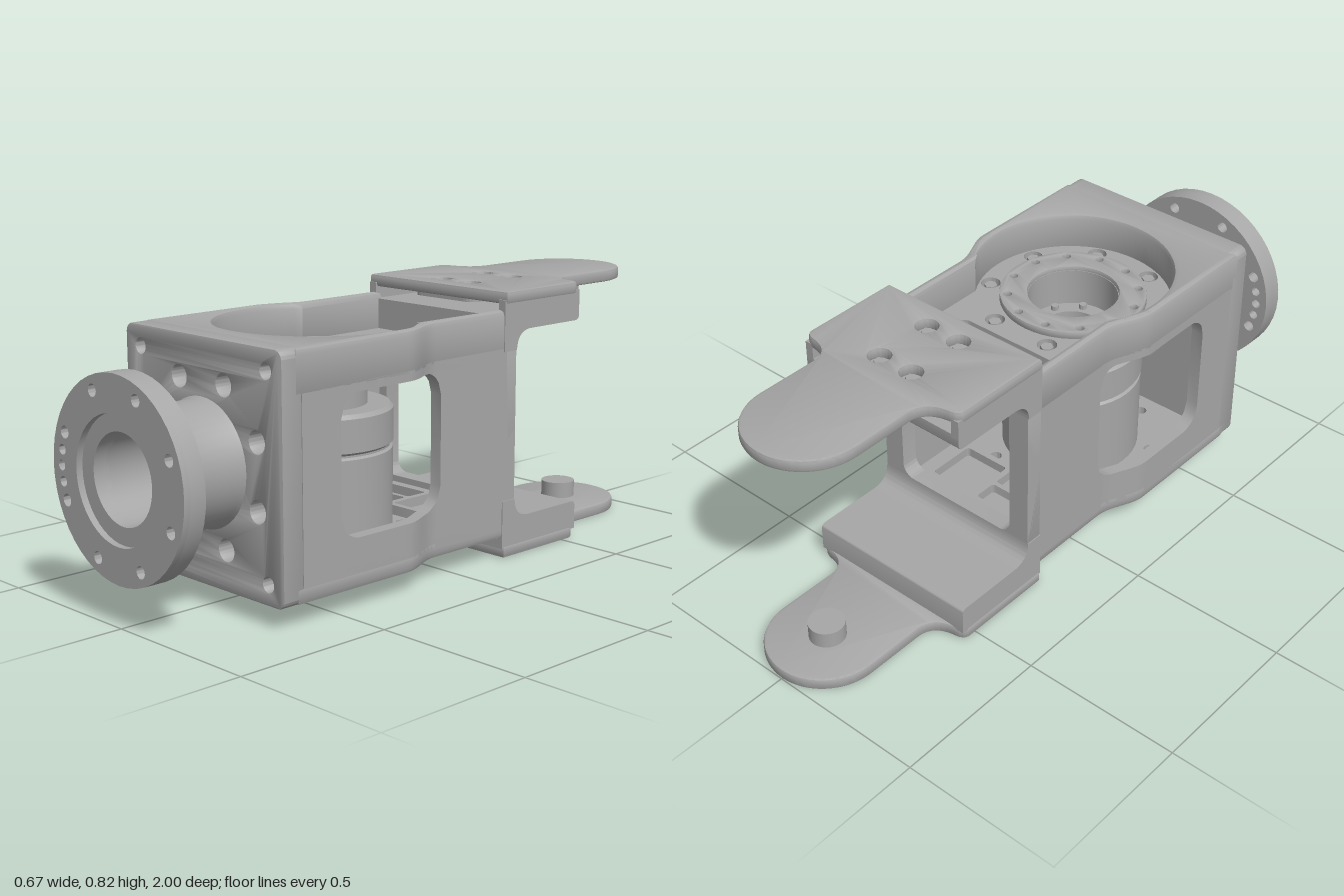
import * as THREE from 'three';
import { toCreasedNormals } from 'three/addons/utils/BufferGeometryUtils.js';

const H = 0.82, MID = 0.41, CZ = 0.28; // total height, tube axis height, joint axis z
const metal = new THREE.MeshStandardMaterial({ color: 0xa6a6a6 });
metal.name = 'grey metal';

function add(group, name, geo) {
  const m = new THREE.Mesh(toCreasedNormals(geo, 0.5), metal);
  m.name = name;
  group.add(m);
  return m;
}
// extrude from a to b with an optional small edge bevel
function slab(shape, a, b, bevel = 0) {
  const g = new THREE.ExtrudeGeometry(shape, {
    depth: b - a - 2 * bevel, curveSegments: 24, bevelEnabled: bevel > 0,
    bevelThickness: bevel, bevelSize: bevel, bevelOffset: -bevel, bevelSegments: 2 });
  return g.translate(0, 0, a + bevel);
}
// plan shapes use (x, -z) and rise from y = a to y = b
const plan = (s, a, b, bevel) => slab(s, a, b, bevel).rotateX(-Math.PI / 2);
const circle = (x, y, r) => new THREE.Path().absarc(x, y, r, 0, Math.PI * 2, false);
const disc = (x, y, r) => new THREE.Shape().absarc(x, y, r, 0, Math.PI * 2, false);
function roundRect(x0, y0, x1, y1, r, T = THREE.Shape) {
  const s = new T();
  s.absarc(x1 - r, y0 + r, r, -Math.PI / 2, 0, false);
  s.absarc(x1 - r, y1 - r, r, 0, Math.PI / 2, false);
  s.absarc(x0 + r, y1 - r, r, Math.PI / 2, Math.PI, false);
  s.absarc(x0 + r, y0 + r, r, Math.PI, Math.PI * 1.5, false);
  s.closePath();
  return s;
}
function ringPoints(n, r, cx, cy, offset = 0.5) {
  return Array.from({ length: n }, (_, i) => {
    const a = (i + offset) / n * Math.PI * 2;
    return [cx + r * Math.cos(a), cy + r * Math.sin(a)];
  });
}
const punch = (shape, pts, r) => pts.forEach(([x, y]) => shape.holes.push(circle(x, y, r)));

// half width of the housing: wide at the front, narrow behind
const halfWidth = z => 0.285 + 0.05 * THREE.MathUtils.smoothstep(z, 0.08, 0.24);
// outline from the left rear corner, round the front, to the other rear corner
function housingOutline(rearZ, frontZ) {
  const side = [[0.335, frontZ]];
  for (let i = 0; i <= 10; i++) { const z = 0.24 - 0.016 * i; side.push([halfWidth(z), z]); }
  side.push([0.285, rearZ]);
  const all = [...side.slice().reverse().map(([x, z]) => [-x, z]), ...side];
  const s = new THREE.Shape();
  all.forEach(([x, z], i) => (i ? s.lineTo(x, -z) : s.moveTo(x, -z)));
  return s;
}
// rim around the recess: round at the front, open towards the fork
function rimShape() {
  const s = housingOutline(-0.225, 0.66);
  s.lineTo(0.25, 0.225);
  s.lineTo(0.25, -0.114);
  s.absarc(0, -CZ, 0.3, 0.587, 2.555, true);
  s.lineTo(-0.25, 0.225);
  return s;
}

// side wall rail, lofted along z from rectangular sections
function rail(side, upper) {
  const a = 0.22, b = 0.205, r = 0.07, yc = 0.415;
  const sections = [[0.64, 0], [CZ + a, 0]];
  for (let i = 0; i <= 44; i++) {
    const z = CZ + a - 0.01 * i, d = Math.max(0, Math.abs(z - CZ) - (a - r));
    sections.push([z, b - r + Math.sqrt(Math.max(0, r * r - d * d))]);
  }
  sections.push([CZ - a, 0], [-0.265, 0]);
  const pos = [], idx = [];
  sections.forEach(([z, h]) => {
    const y0 = upper ? yc + h : 0.12, y1 = upper ? 0.645 : yc - h;
    const xo = side * halfWidth(z), xi = xo - side * 0.04;
    const c = [[xo, y0], [xo, y1], [xi, y1], [xi, y0]];
    if (side < 0) c.reverse();
    c.forEach(([x, y]) => pos.push(x, y, z));
  });
  const last = (sections.length - 1) * 4;
  for (let k = 0; k < last; k += 4) for (let j = 0; j < 4; j++) {
    const n = (j + 1) % 4;
    idx.push(k + j, k + 4 + j, k + 4 + n, k + j, k + 4 + n, k + n);
  }
  idx.push(0, 1, 2, 0, 2, 3, last, last + 2, last + 1, last, last + 3, last + 2);
  const g = new THREE.BufferGeometry();
  g.setAttribute('position', new THREE.Float32BufferAttribute(pos, 3));
  g.setIndex(idx);
  return g;
}

function housing() {
  const g = new THREE.Group(); g.name = 'housing';
  add(g, 'topRim', plan(rimShape(), 0.625, 0.765, 0.018));
  add(g, 'bottomRim', plan(rimShape(), 0.06, 0.125, 0.018));
  const bolts = ringPoints(8, 0.265, 0, -CZ);
  const top = housingOutline(-0.23, 0.64);
  top.holes.push(circle(0, -CZ, 0.145), roundRect(-0.18, 0.02, 0.18, 0.185, 0.03, THREE.Path));
  punch(top, bolts, 0.03);
  add(g, 'topFloor', plan(top, 0.62, 0.65));
  bolts.forEach(([x, v]) =>
    add(g, 'floorBolt', new THREE.CylinderGeometry(0.02, 0.02, 0.03, 6).translate(x, 0.63, -v)));
  const base = housingOutline(-0.23, 0.64);
  punch(base, bolts, 0.018);
  add(g, 'bottomFloor', plan(base, 0.09, 0.13));
  // ribbed pocket on the floor
  const pocket = roundRect(-0.22, 0, 0.22, 0.21, 0.02);
  pocket.holes.push(roundRect(-0.17, 0.105, -0.01, 0.18, 0.01, THREE.Path),
    roundRect(-0.17, 0.02, -0.01, 0.09, 0.01, THREE.Path),
    roundRect(0.01, 0.02, 0.17, 0.18, 0.01, THREE.Path));
  add(g, 'floorRibs', plan(pocket, 0.13, 0.16));
  for (const s of [1, -1]) {
    add(g, 'sideWallUpper', rail(s, true));
    add(g, 'sideWallLower', rail(s, false));
  }
  const front = roundRect(-0.31, 0.12, 0.31, 0.64, 0.01);
  front.holes.push(circle(0, MID, 0.13));
  add(g, 'frontWall', slab(front, 0.59, 0.64));
  const rear = roundRect(-0.285, 0.12, 0.285, 0.7, 0.005);
  rear.holes.push(roundRect(-0.215, 0.18, 0.215, 0.64, 0.04, THREE.Path));
  add(g, 'rearFrame', slab(rear, -0.265, -0.21));
  return g;
}

function forkArm(isTop) {
  const g = new THREE.Group(); g.name = isTop ? 'upperForkArm' : 'lowerForkArm';
  const f = y => (isTop ? y : H - y);
  const span = (a, b) => [Math.min(f(a), f(b)), Math.max(f(a), f(b))];
  // tongue plate with a round end
  const s = new THREE.Shape();
  s.moveTo(0.29, 0.215);
  s.lineTo(0.29, 0.525);
  s.quadraticCurveTo(0.29, 0.55, 0.255, 0.555);
  s.quadraticCurveTo(0.18, 0.565, 0.18, 0.63);
  s.absarc(0, 0.82, 0.18, 0, Math.PI, false);
  s.lineTo(-0.18, 0.63);
  s.quadraticCurveTo(-0.18, 0.565, -0.255, 0.555);
  s.quadraticCurveTo(-0.29, 0.55, -0.29, 0.525);
  s.lineTo(-0.29, 0.215);
  const holes = [[-0.06, 0.3], [0.06, 0.3], [-0.06, 0.49], [0.06, 0.49]];
  if (isTop) punch(s, holes, 0.033);
  add(g, 'tonguePlate', plan(s, ...span(0.782, 0.82), 0.008));
  // block with a fillet towards the housing, drawn in (-z, y)
  const inner = isTop ? 0.745 : 0.79;
  const p = new THREE.Shape();
  p.moveTo(0.21, f(0.64));
  p.lineTo(0.265, f(0.64));
  p.quadraticCurveTo(0.267, f(0.7), 0.33, f(0.7));
  p.lineTo(0.535, f(0.7));
  p.quadraticCurveTo(0.553, f(0.7), 0.553, f(0.718));
  p.lineTo(0.553, f(inner));
  p.lineTo(0.21, f(inner));
  add(g, 'armBlock', slab(p, -0.288, 0.288).rotateY(Math.PI / 2));
  if (isTop) {
    for (const x of [-0.275, 0.275])
      add(g, 'armSide', new THREE.BoxGeometry(0.026, 0.06, 0.343).translate(x, 0.765, -0.3815));
    // bolt boss under the plate
    add(g, 'bolt boss', plan(roundRect(-0.13, 0.24, 0.13, 0.55, 0.04), 0.768, 0.784));
    holes.forEach(([x, v]) =>
      add(g, 'armBolt', new THREE.CylinderGeometry(0.018, 0.018, 0.02, 6).translate(x, 0.79, -v)));
  }
  const [a, b] = span(0.73, 0.79);
  add(g, 'pivotPin', new THREE.CylinderGeometry(0.055, 0.055, b - a, 32).translate(0, (a + b) / 2, -0.815));
  return g;
}

function lathe(points) {
  return new THREE.LatheGeometry(points.map(([r, y]) => new THREE.Vector2(r, y)), 48);
}

function actuator() {
  const g = new THREE.Group(); g.name = 'actuator';
  add(g, 'motorBody', lathe([[0, 0.13], [0.218, 0.13], [0.218, 0.39], [0.21, 0.396], [0.21, 0.402],
    [0.22, 0.41], [0.22, 0.508], [0.21, 0.52], [0.145, 0.52], [0.145, 0.66], [0.138, 0.66],
    [0.138, 0.54], [0.09, 0.54], [0.09, 0.47], [0, 0.47]]));
  const ring = disc(0, 0, 0.225);
  ring.holes.push(circle(0, 0, 0.14));
  punch(ring, ringPoints(12, 0.2, 0, 0), 0.012);
  add(g, 'bearingRing', plan(ring, 0.65, 0.675, 0.004));
  ringPoints(8, 0.115, 0, 0).forEach(([x, z]) =>
    add(g, 'hubScrew', new THREE.CylinderGeometry(0.012, 0.012, 0.02, 8).translate(x, 0.545, z)));
  g.position.z = CZ;
  return g;
}

function frontTube() {
  const g = new THREE.Group(); g.name = 'frontTube';
  const plate = roundRect(-0.335, 0.06, 0.335, 0.765, 0.028);
  plate.holes.push(circle(0, MID, 0.13));
  punch(plate, [[-0.27, 0.12], [0.27, 0.12], [-0.27, 0.703], [0.27, 0.703]], 0.022);
  punch(plate, ringPoints(8, 0.25, 0, MID), 0.032);
  add(g, 'frontPlate', slab(plate, 0.64, 0.71, 0.004));
  add(g, 'neck', lathe([[0.13, 0.7], [0.192, 0.7], [0.18, 0.725], [0.18, 0.915], [0.19, 0.94],
    [0.13, 0.94], [0.13, 0.7]]).rotateX(Math.PI / 2).translate(0, MID, 0));
  // flange with a counterbore and bolt holes
  const bolts = ringPoints(8, 0.25, 0, MID);
  const small = [[-0.245, MID - 0.045], [-0.25, MID], [-0.245, MID + 0.045]];
  for (const [bore, a, b] of [[0.13, 0.93, 0.98], [0.182, 0.98, 1]]) {
    const s = disc(0, MID, 0.29);
    s.holes.push(circle(0, MID, bore));
    punch(s, bolts, 0.018);
    punch(s, small, 0.015);
    add(g, 'flange', slab(s, a, b));
  }
  return g;
}

export function createModel() {
  const model = new THREE.Group();
  model.name = 'robotArmJoint';
  model.add(housing(), forkArm(true), forkArm(false), actuator(), frontTube());
  return model;
}
